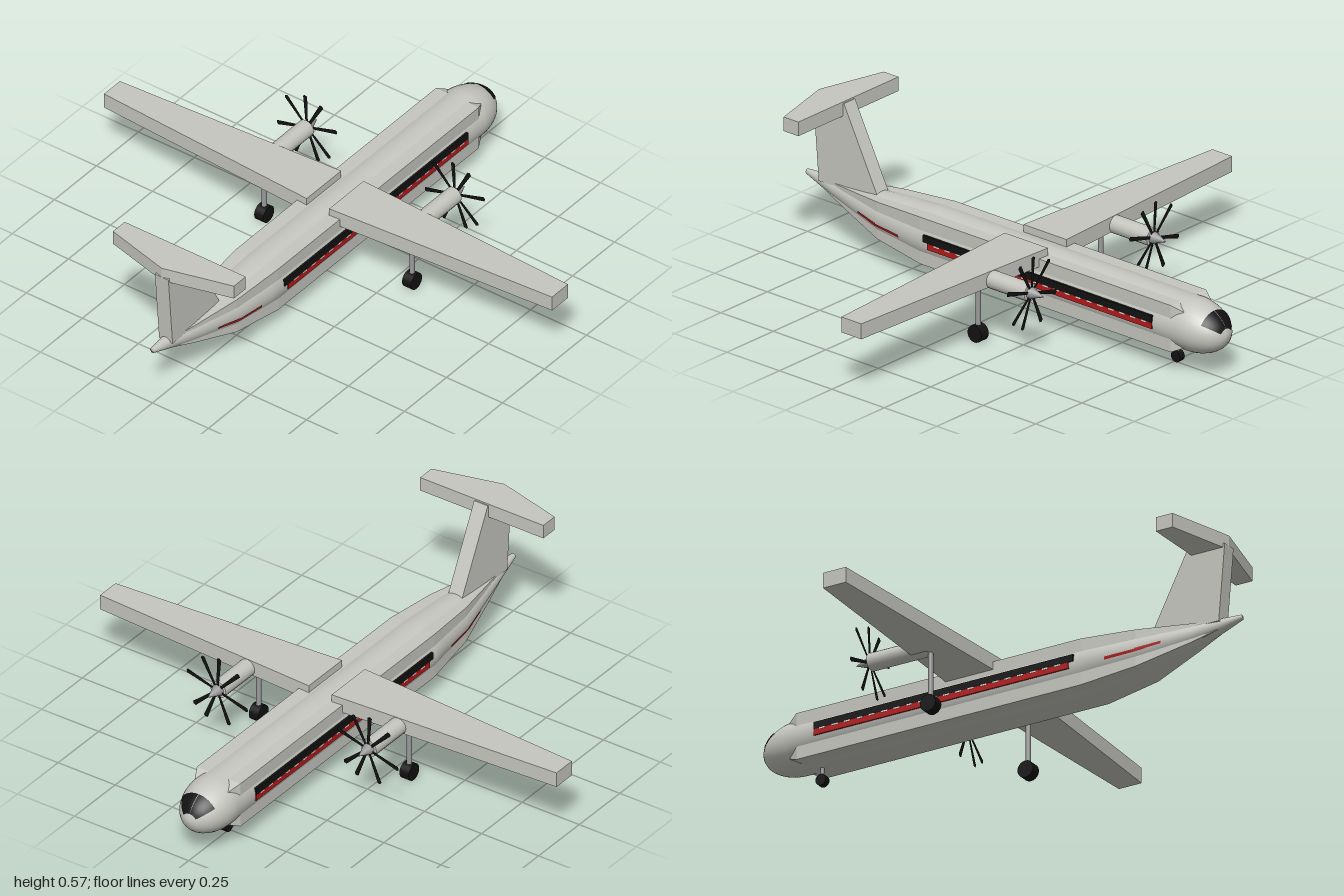
import * as THREE from 'three';

const paint = (name, color) => Object.assign(new THREE.MeshStandardMaterial({ color }), { name });

// Elliptical hull section at z: centre height, half width, half height
const TAIL = [[0.38, 0.175, 0.105, 0.1], [0.6, 0.183, 0.086, 0.08], [0.8, 0.205, 0.046, 0.045],
  [0.93, 0.224, 0.022, 0.024], [1, 0.235, 0.01, 0.01]];
function section(z) {
  if (z < -0.84) {
    const t = Math.min(1, (-0.84 - z) / 0.16), r = Math.sqrt(1 - t * t);
    return { c: 0.175 - 0.01 * t, rx: 0.105 * r, ry: 0.1 * r };
  }
  if (z <= 0.38) return { c: 0.175, rx: 0.105, ry: 0.1 };
  let i = 0;
  while (i < TAIL.length - 2 && z > TAIL[i + 1][0]) i++;
  const a = TAIL[i], b = TAIL[i + 1], t = (z - a[0]) / (b[0] - a[0]);
  const mix = k => a[k] + (b[k] - a[k]) * t;
  return { c: mix(1), rx: mix(2), ry: mix(3) };
}

// Skin through rows of points; each row runs counter-clockwise seen from +z
function skin(rows, closed) {
  const n = rows[0].length, index = [];
  for (let i = 0; i < rows.length - 1; i++) {
    for (let j = 0; j < (closed ? n : n - 1); j++) {
      const k = (j + 1) % n, a = i * n + j, b = i * n + k;
      index.push(a, b, b + n, a, b + n, a + n);
    }
  }
  const g = new THREE.BufferGeometry();
  g.setAttribute('position', new THREE.Float32BufferAttribute(rows.flat(2), 3));
  g.setIndex(index);
  g.computeVertexNormals();
  return g;
}

// Patch lying just above the hull between two angles (degrees)
function hullPatch(z0, z1, a0, a1, off) {
  const rows = [];
  for (let i = 0; i <= 10; i++) {
    const z = z0 + (z1 - z0) * i / 10, s = section(z), row = [];
    for (let j = 0; j <= 10; j++) {
      const a = THREE.MathUtils.degToRad(a0 + (a1 - a0) * j / 10);
      row.push([(s.rx + off) * Math.cos(a), s.c + (s.ry + off) * Math.sin(a), z]);
    }
    rows.push(row);
  }
  return skin(rows, false);
}

const polygon = pts => new THREE.Shape(pts.map(p => new THREE.Vector2(p[0], p[1])));

// Slab with an outline in x,z between heights y0 and y1
function slab(pts, y0, y1) {
  const g = new THREE.ExtrudeGeometry(polygon(pts.map(([x, z]) => [x, -z])), { depth: y1 - y0, bevelEnabled: false });
  return g.rotateX(-Math.PI / 2).translate(0, y0, 0);
}

export function createModel() {
  const model = new THREE.Group();
  model.name = 'airliner';
  const grey = paint('light grey', 0xc6c6c0);
  const metal = paint('metal grey', 0x9a9a9a);
  const black = paint('black', 0x121212);
  const red = paint('red', 0xb41a1a);
  const white = paint('white', 0xf0f0f0);
  const blade = paint('propeller black', 0x121212);
  grey.side = black.side = red.side = blade.side = THREE.DoubleSide;

  const add = (name, geometry, material, x = 0, y = 0, z = 0) => {
    const m = new THREE.Mesh(geometry, material);
    m.name = name;
    m.position.set(x, y, z);
    model.add(m);
    return m;
  };

  // Round fuselage with domed nose and upswept tail
  const stations = [];
  for (let i = 0; i <= 10; i++) stations.push(-0.84 - 0.16 * Math.cos(i / 10 * Math.PI / 2));
  stations.push(0.38, 0.42, 0.6, 0.8, 0.93, 1);
  const ring = z => {
    const s = section(z);
    return Array.from({ length: 32 }, (_, j) => {
      const a = j / 32 * Math.PI * 2;
      return [s.rx * Math.cos(a), s.c + s.ry * Math.sin(a), z];
    });
  };
  const rings = stations.map(ring);
  rings.push(rings[rings.length - 1].map(() => [0, 0.235, 1]));
  add('fuselage', skin(rings, true), grey);

  // Square-cornered casing that breaks through the round hull
  const casing = [[-0.88, 0.6], [-0.815, 0.91], [0.38, 0.91], [0.6, 0.9], [0.8, 0.85], [0.95, 0.6]].map(([z, k]) => {
    const s = section(Math.max(z, -0.8));
    return [[1, -1], [1, 1], [-1, 1], [-1, -1]].map(([x, y]) => [x * s.rx * k, s.c + y * s.ry * k, z]);
  });
  const casingGeometry = skin(casing, true).toNonIndexed();
  casingGeometry.computeVertexNormals();
  add('fuselageCasing', casingGeometry, grey);

  // Cockpit glazing in two halves
  add('leftWindscreen', hullPatch(-0.994, -0.938, 34, 89.3, 0.003), black);
  add('rightWindscreen', hullPatch(-0.994, -0.938, 90.7, 146, 0.003), black);

  // Fin and tailplane
  const fin = polygon([[0.64, 0.23], [0.92, 0.23], [0.945, 0.53], [0.8, 0.565], [0.64, 0.25]]);
  const finGeometry = new THREE.ExtrudeGeometry(fin, { depth: 0.06, bevelEnabled: false });
  add('fin', finGeometry.rotateY(-Math.PI / 2).translate(0.03, 0, 0), grey);
  add('tailplane', slab([[-0.27, 0.805], [0.27, 0.805], [0.27, 0.875], [0, 0.945], [-0.27, 0.875]], 0.515, 0.57), grey);

  // Flat propeller blade, wider toward the tip
  const bladeGeometry = new THREE.ShapeGeometry(polygon([[0.015, -0.005], [0.135, -0.01], [0.14, 0], [0.135, 0.008], [0.015, 0.005]]));
  const bladeAngles = [16, 62, 94, 134, 196, 248, 292, 318];

  for (const s of [1, -1]) {
    const side = s > 0 ? 'left' : 'right';

    // Wing, nacelle, spinner and propeller
    add(side + 'Wing', slab([[s * 0.05, -0.19], [s, -0.14], [s, -0.045], [s * 0.05, 0.015]], 0.235, 0.295), grey);
    add(side + 'Nacelle', new THREE.CylinderGeometry(0.034, 0.034, 0.25, 16).rotateX(Math.PI / 2), grey, s * 0.33, 0.26, -0.23);
    add(side + 'Spinner', new THREE.ConeGeometry(0.024, 0.065, 16).rotateX(-Math.PI / 2), metal, s * 0.33, 0.26, -0.387);
    const propeller = new THREE.Group();
    propeller.name = side + 'Propeller';
    propeller.position.set(s * 0.33, 0.26, -0.36);
    for (const angle of bladeAngles) {
      const b = new THREE.Mesh(bladeGeometry, blade);
      b.name = 'blade';
      b.rotation.z = THREE.MathUtils.degToRad(angle);
      propeller.add(b);
    }
    model.add(propeller);

    // Main landing gear
    add(side + 'MainStrut', new THREE.CylinderGeometry(0.01, 0.01, 0.21, 12), metal, s * 0.33, 0.14, -0.105);
    add(side + 'MainWheel', new THREE.CylinderGeometry(0.033, 0.033, 0.04, 20).rotateZ(Math.PI / 2), black, s * 0.33, 0.033, -0.105);

    // Window band, red stripe and white dashes
    add(side + 'WindowBand', new THREE.BoxGeometry(0.009, 0.027, 1.09), black, s * 0.104, 0.193, -0.19);
    add(side + 'RedStripe', new THREE.BoxGeometry(0.009, 0.024, 1.07), red, s * 0.104, 0.167, -0.2);
    for (let i = 0; i < 20; i++) {
      add(side + 'Dash', new THREE.BoxGeometry(0.003, 0.005, 0.025), white, s * 0.108, 0.177, 0.29 - i * 0.052);
    }

    // Red flashes on the tail cone
    for (const [z0, z1, a0, a1] of [[0.6, 0.7, -12, -4], [0.48, 0.64, -13, -6]]) {
      const g = s > 0 ? hullPatch(z0, z1, a0, a1, 0.004) : hullPatch(z0, z1, 180 - a1, 180 - a0, 0.004);
      add(side + 'TailFlash', g, red);
    }
  }

  // Nose landing gear
  add('noseStrut', new THREE.CylinderGeometry(0.007, 0.007, 0.08, 10), metal, 0, 0.06, -0.765);
  add('noseWheel', new THREE.CylinderGeometry(0.022, 0.022, 0.025, 20).rotateZ(Math.PI / 2), black, 0, 0.026, -0.765);

  return model;
}
